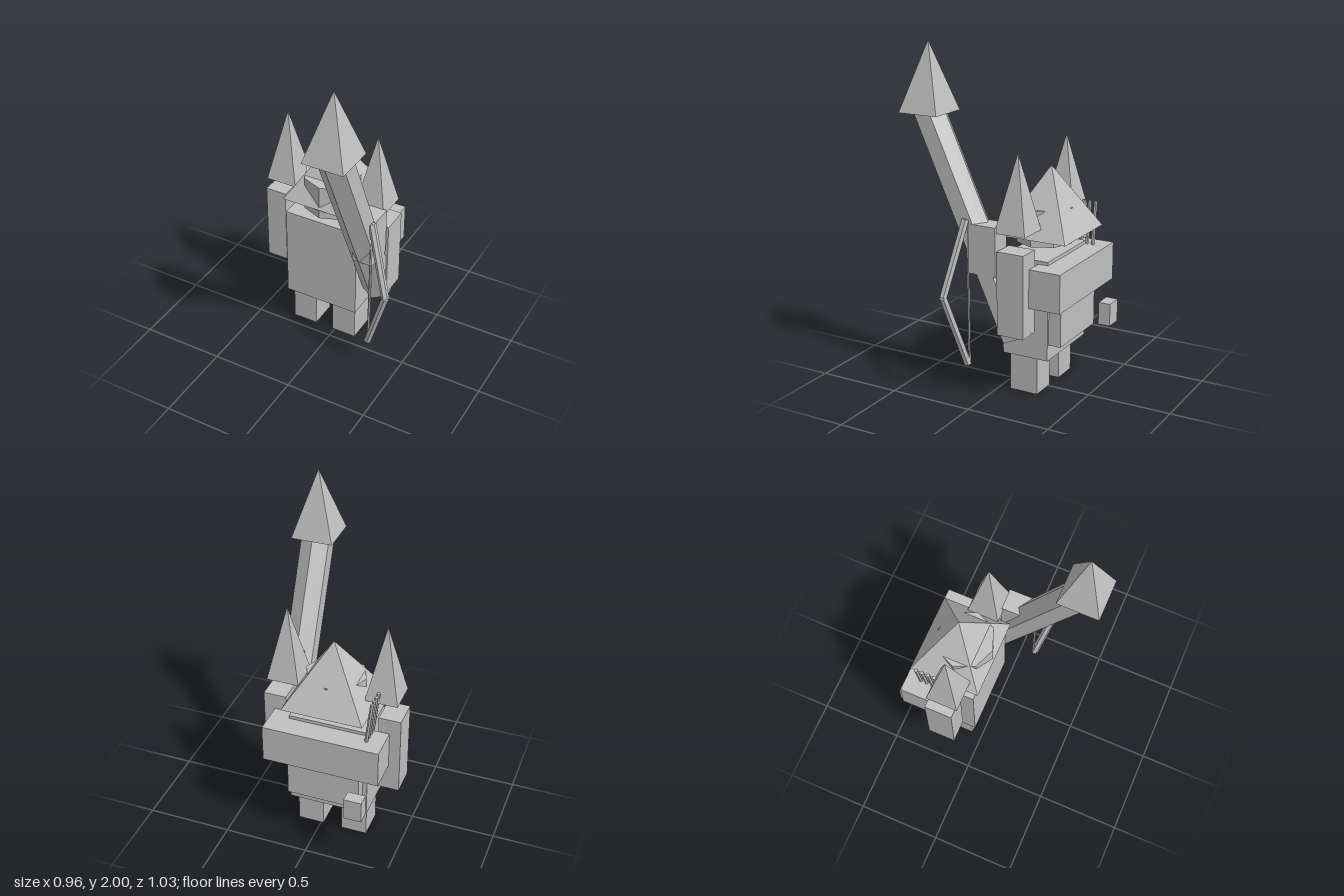
import * as THREE from 'three';

const grey = new THREE.MeshStandardMaterial({ color: 0xc0c0c0 });
grey.name = 'stone grey';

export function createModel() {
  const model = new THREE.Group();
  model.name = 'armoredFigure';

  // Adds a faceted mesh
  function add(name, geometry) {
    const flat = geometry.toNonIndexed();
    flat.computeVertexNormals();
    const mesh = new THREE.Mesh(flat, grey);
    mesh.name = name;
    model.add(mesh);
    return mesh;
  }

  // Box from minimum and maximum corners
  function box(name, [x0, y0, z0], [x1, y1, z1]) {
    add(name, new THREE.BoxGeometry(x1 - x0, y1 - y0, z1 - z0))
      .position.set((x0 + x1) / 2, (y0 + y1) / 2, (z0 + z1) / 2);
  }

  // Four-sided spire standing on a rectangular base
  function pyramid(name, x, z, width, depth, y0, y1) {
    const g = new THREE.ConeGeometry(Math.SQRT1_2, 1, 4).rotateY(Math.PI / 4);
    g.scale(width, y1 - y0, depth);
    add(name, g).position.set(x, (y0 + y1) / 2, z);
  }

  // Straight six-sided rod between two points
  function rod(name, from, to, radius) {
    const a = new THREE.Vector3(...from), b = new THREE.Vector3(...to);
    const mesh = add(name, new THREE.CylinderGeometry(radius, radius, a.distanceTo(b), 6));
    mesh.position.copy(a).add(b).multiplyScalar(0.5);
    mesh.quaternion.setFromUnitVectors(new THREE.Vector3(0, 1, 0), b.sub(a).normalize());
  }

  // Legs and torso
  box('rightLeg', [-0.285, 0, -0.24], [-0.13, 0.23, -0.065]);
  box('leftLeg', [-0.015, 0, -0.24], [0.14, 0.23, -0.065]);
  box('torso', [-0.31, 0.227, -0.315], [0.16, 0.815, -0.03]);

  // Packs on the back
  box('lowerPack', [-0.285, 0.32, -0.39], [0.145, 0.58, -0.3]);
  box('upperPack', [-0.415, 0.57, -0.445], [0.27, 0.795, -0.255]);
  box('pouch', [-0.345, 0.34, -0.513], [-0.24, 0.475, -0.44]);

  // Arms
  box('rightArm', [-0.48, 0.405, -0.255], [-0.35, 0.89, -0.09]);
  box('leftUpperArm', [0.2, 0.405, -0.255], [0.335, 0.89, -0.09]);
  box('leftForearm', [0.2, 0.735, -0.075], [0.328, 1.02, 0.095]);

  // Head and hat
  const head = add('head', new THREE.CylinderGeometry(0.177, 0.177, 0.21, 8));
  head.position.set(-0.073, 0.97, -0.175);
  head.scale.z = 0.945;
  pyramid('hat', -0.0725, -0.21, 0.475, 0.42, 0.925, 1.305);

  // Shoulder spires
  pyramid('rightSpire', -0.36, -0.158, 0.19, 0.19, 0.985, 1.427);
  pyramid('leftSpire', 0.22, -0.158, 0.19, 0.19, 0.985, 1.427);

  // Lance
  rod('lanceShaft', [0.243, 0.377, -0.17], [0.243, 1.665, 0.413], 0.096);
  pyramid('lanceTip', 0.243, 0.39, 0.245, 0.245, 1.605, 2);

  // Bow with two straight limbs and a string
  const grip = [0.46, 0.615, 0.18];
  rod('bowUpperLimb', grip, [0.33, 1.045, 0.11], 0.023);
  rod('bowLowerLimb', grip, [0.32, 0.185, 0.11], 0.023);
  rod('bowString', [0.318, 0.19, 0.1], [0.325, 1.04, 0.1], 0.008);

  // Arrows leaning out of the upper pack
  for (let i = 0; i < 4; i++) {
    const z = -0.248 - i * 0.037;
    rod('arrow', [-0.305, 0.7, z], [-0.345, 1.05, z], 0.011);
  }

  return model;
}
